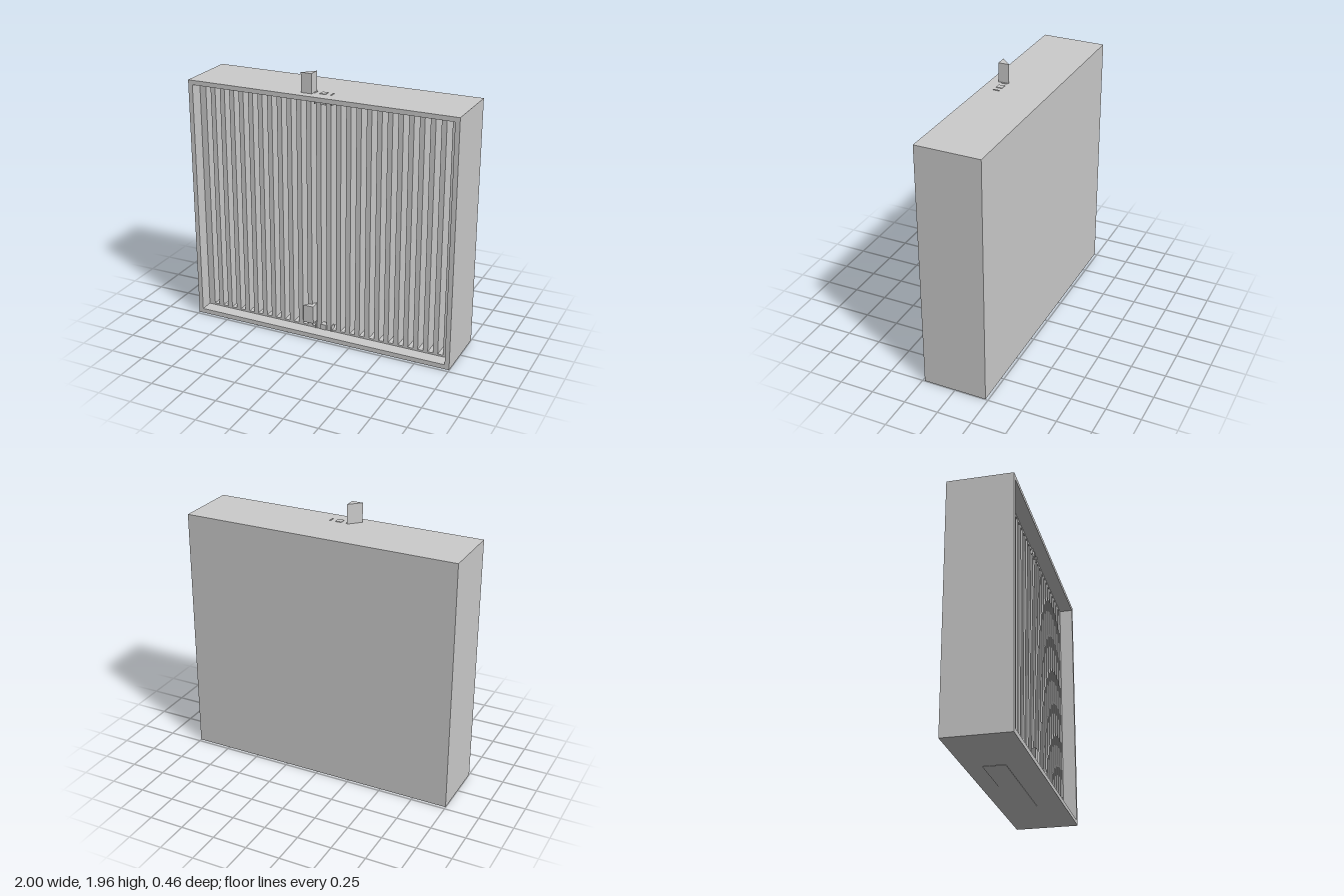
import * as THREE from 'three';

const material = new THREE.MeshStandardMaterial({ color: 0xcccccc, flatShading: true });

export function createModel() {
  const model = new THREE.Group();
  model.name = 'slattedCabinet';

  const add = (name, geometry, parent = model) => {
    const mesh = new THREE.Mesh(geometry, material);
    mesh.name = name;
    parent.add(mesh);
    return mesh;
  };

  // Box given by its minimum and maximum on each axis
  const box = (name, [x0, x1], [y0, y1], [z0, z1], parent) =>
    add(name, new THREE.BoxGeometry(x1 - x0, y1 - y0, z1 - z0), parent)
      .position.set((x0 + x1) / 2, (y0 + y1) / 2, (z0 + z1) / 2);

  // Rectangular ring extruded along z
  const ring = (name, outer, inner, z0, z1) => {
    const rect = (Type, [x, y0, y1]) => new Type([
      new THREE.Vector2(-x, y0), new THREE.Vector2(x, y0),
      new THREE.Vector2(x, y1), new THREE.Vector2(-x, y1),
    ]);
    const shape = rect(THREE.Shape, outer);
    shape.holes.push(rect(THREE.Path, inner));
    const geometry = new THREE.ExtrudeGeometry(shape, { depth: z1 - z0, bevelEnabled: false });
    geometry.translate(0, 0, z0);
    add(name, geometry);
  };

  // Outer casing, open at the front
  ring('casing', [1, 0.003, 1.82], [0.967, 0.037, 1.787], -0.2, 0.232);
  box('backPanel', [-1, 1], [0.003, 1.82], [-0.232, -0.2]);

  // Recessed frame holding the slats
  ring('slatFrame', [0.967, 0.037, 1.787], [0.955, 0.05, 1.775], -0.2, 0.135);

  // Vertical slats
  const slats = new THREE.Group();
  slats.name = 'slats';
  model.add(slats);
  const count = 26, width = 0.036, pitch = (1.91 - width) / (count - 1);
  for (let i = 0; i < count; i++) {
    const x = -0.955 + i * pitch;
    box('slat', [x, x + width], [0.05, 1.775], [-0.2, 0.135], slats);
  }

  // Triangular pegs, one on top and one in front of the slats
  const triangle = new THREE.Shape([
    new THREE.Vector2(-0.15, -0.17), new THREE.Vector2(-0.07, -0.17), new THREE.Vector2(-0.07, -0.09),
  ]);
  for (const [name, y, height] of [['topPeg', 1.82, 0.14], ['lowerPeg', 0.085, 0.135]]) {
    const peg = add(name, new THREE.ExtrudeGeometry(triangle, { depth: height, bevelEnabled: false }));
    peg.rotation.x = -Math.PI / 2;
    peg.position.y = y;
  }

  // Small catches at the top and bottom of the opening
  for (const [y0, y1] of [[0.04, 0.08], [1.745, 1.824]]) {
    box('catchBlock', [-0.022, 0.022], [y0, y1], [0.1, 0.145]);
    for (const x of [-0.062, 0.062]) box('catchTab', [x - 0.004, x + 0.004], [y0, y1], [0.1, 0.145]);
  }

  // Thin plate under the base
  box('basePlate', [-0.45, 0.45], [0, 0.01], [-0.11, 0.045]);

  return model;
}
